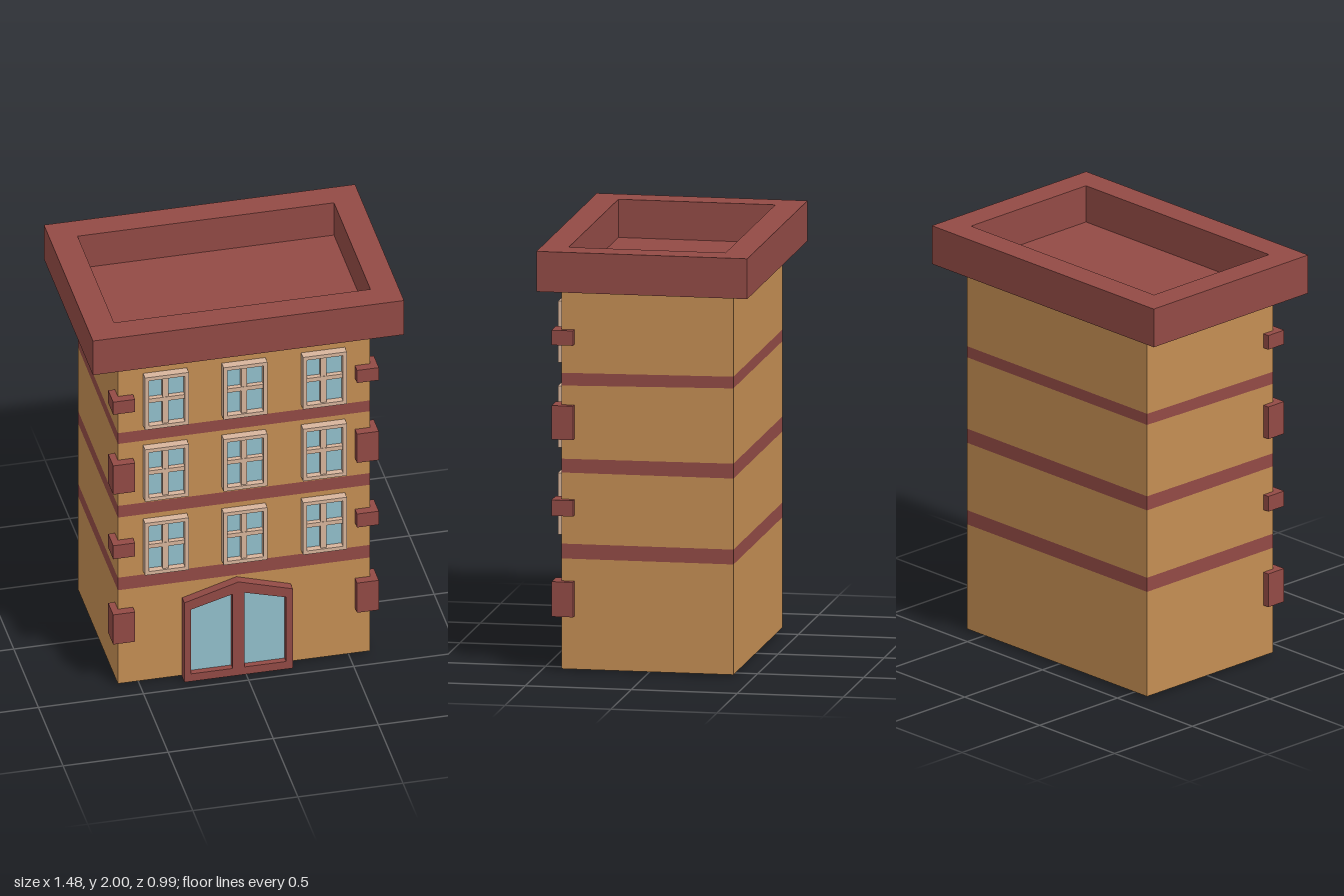
import * as THREE from 'three';

const mat = (color) => new THREE.MeshStandardMaterial({ color, flatShading: true });

export function createModel() {
  const model = new THREE.Group();
  const wall = mat(0xc48e53), brick = mat(0x924a45), trim = mat(0xd8b59c), glass = mat(0x92bfcc);

  const add = (parent, name, geometry, material) => {
    const mesh = new THREE.Mesh(geometry, material);
    mesh.name = name;
    parent.add(mesh);
    return mesh;
  };
  // Box given by its limits on each axis
  const box = (parent, name, material, x0, x1, y0, y1, z0, z1) =>
    add(parent, name, new THREE.BoxGeometry(x1 - x0, y1 - y0, z1 - z0)
      .translate((x0 + x1) / 2, (y0 + y1) / 2, (z0 + z1) / 2), material);
  const polygon = (Type, points) => new Type(points.map(([x, y]) => new THREE.Vector2(x, y)));
  const rect = (x0, x1, y0, y1) => [[x0, y0], [x1, y0], [x1, y1], [x0, y1]];
  const plate = (outer, holes, z0, z1) => {
    const shape = polygon(THREE.Shape, outer);
    shape.holes = holes.map((h) => polygon(THREE.Path, h));
    return new THREE.ExtrudeGeometry(shape, { depth: z1 - z0, bevelEnabled: false }).translate(0, 0, z0);
  };

  // Walls: flush storeys and brick bands, each a ring of four sides
  const W = 0.6, D = 0.405;
  const front = [0.01, 0.53, 0.6, 0.935, 1.0, 1.345, 1.405, 1.81];
  const back = [0.01, 0.53, 0.6, 0.935, 1.005, 1.36, 1.415, 1.81];
  const corners = [[-W, D], [W, D], [W, -D], [-W, -D]];
  for (let i = 0; i < front.length - 1; i++) {
    const pos = [];
    const point = (c, level) => {
      const [x, z] = corners[c % 4];
      return [x, (z > 0 ? front : back)[level], z];
    };
    for (let c = 0; c < 4; c++) {
      const a = point(c, i), b = point(c + 1, i), e = point(c + 1, i + 1), f = point(c, i + 1);
      pos.push(...a, ...b, ...e, ...a, ...e, ...f);
    }
    const g = new THREE.BufferGeometry();
    g.setAttribute('position', new THREE.Float32BufferAttribute(pos, 3));
    g.computeVertexNormals();
    add(model, i % 2 ? 'brickBand' : 'storeyWall', g, i % 2 ? brick : wall);
  }
  add(model, 'base', new THREE.PlaneGeometry(2 * W, 2 * D).rotateX(Math.PI / 2).translate(0, 0.01, 0), wall);

  // Roof: overhanging parapet around a sunken floor
  const parapet = plate(rect(-0.74, 0.74, -0.497, 0.497), [rect(-0.61, 0.61, -0.37, 0.37)], 1.81, 2);
  add(model, 'parapet', parapet.rotateX(-Math.PI / 2), brick);
  box(model, 'roofFloor', brick, -0.61, 0.61, 1.81, 1.82, -0.37, 0.37);

  // Corner blocks on the two front edges
  for (const [y0, y1] of [[0.26, 0.425], [0.735, 0.81], [1.095, 1.255], [1.54, 1.61]]) {
    box(model, 'leftCornerBlock', brick, 0.528, 0.632, y0, y1, 0.345, 0.447);
    box(model, 'rightCornerBlock', brick, -0.632, -0.528, y0, y1, 0.345, 0.447);
  }

  // Windows: frame, glazing bars and glass, three on each upper floor
  for (const y of [0.765, 1.175, 1.575]) {
    for (const x of [-0.376, -0.002, 0.376]) {
      const w = new THREE.Group();
      w.name = 'window';
      w.position.set(x, y, 0);
      add(w, 'windowFrame', plate(rect(-0.104, 0.104, -0.145, 0.145),
        [rect(-0.086, 0.086, -0.126, 0.126)], 0.405, 0.445), trim);
      box(w, 'mullion', trim, -0.018, 0.01, -0.126, 0.126, 0.405, 0.436);
      box(w, 'transom', trim, -0.086, 0.086, -0.002, 0.02, 0.405, 0.438);
      box(w, 'windowGlass', glass, -0.086, 0.086, -0.126, 0.126, 0.405, 0.415);
      model.add(w);
    }
  }

  // Entrance: gabled frame with two glazed leaves
  const door = new THREE.Group();
  door.name = 'entrance';
  door.position.x = -0.036;
  const leaves = [-1, 1].map((s) =>
    [[s * 0.028, 0.042], [s * 0.226, 0.042], [s * 0.226, 0.4], [s * 0.028, 0.456]]);
  add(door, 'doorFrame', plate([[-0.258, 0], [0.258, 0], [0.258, 0.442], [0, 0.52], [-0.258, 0.442]],
    leaves, 0.4, 0.45), brick);
  for (const leaf of leaves) add(door, 'doorGlass', plate(leaf, [], 0.4, 0.42), glass);
  model.add(door);

  return model;
}
